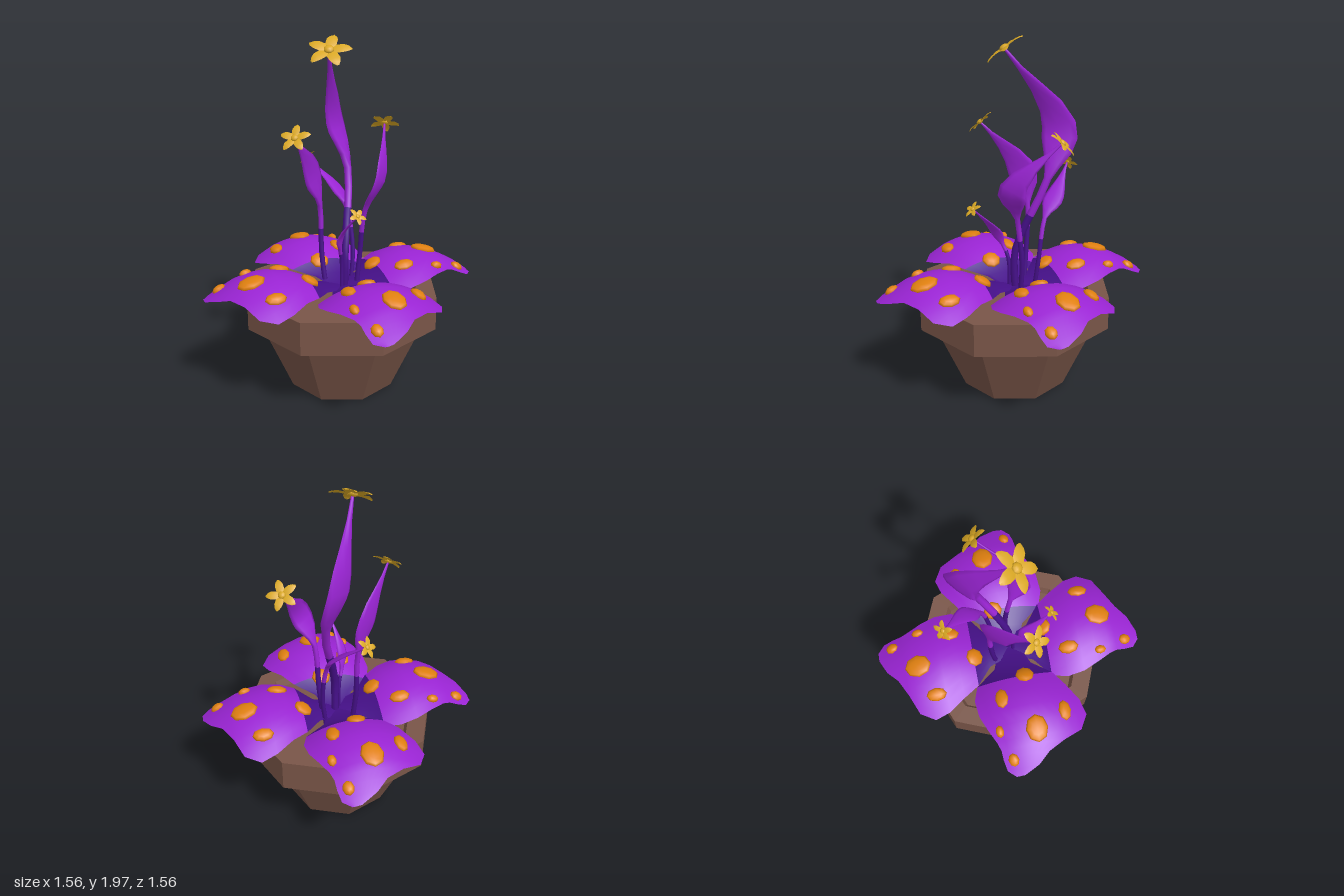
import * as THREE from 'three';
import { toCreasedNormals } from 'three/addons/utils/BufferGeometryUtils.js';

const V = (x, y, z) => new THREE.Vector3(x, y, z);

// Skin between rows of points; closed rows wrap round.
function loft(rows, closed) {
  const n = rows[0].length, index = [];
  for (let i = 0; i < rows.length - 1; i++) {
    for (let j = 0; j < (closed ? n : n - 1); j++) {
      const a = i * n + j, b = i * n + (j + 1) % n;
      index.push(a, b, a + n, b, b + n, a + n);
    }
  }
  const g = new THREE.BufferGeometry().setFromPoints(rows.flat());
  g.setIndex(index);
  g.computeVertexNormals();
  return g;
}

function mesh(name, geometry, material, parent) {
  const m = new THREE.Mesh(geometry, material);
  m.name = name;
  parent.add(m);
  return m;
}

// Big leaf rows: distance from centre, right edge, left edge, spine height
const LEAF = [
  [0, .06, -.06, .56], [.13, .11, -.11, .6], [.22, .22, -.23, .66], [.31, .28, -.26, .7],
  [.41, .345, -.25, .717], [.5, .37, -.215, .712], [.585, .32, -.175, .69], [.63, .21, -.16, .67],
  [.68, .11, -.157, .645], [.74, .04, -.145, .612], [.78, -.05, -.1, .588],
];

function leafHeight(x, z) {
  let i = 0;
  while (i < LEAF.length - 2 && z > LEAF[i + 1][0]) i++;
  const [z0, , , y0] = LEAF[i], [z1, , , y1] = LEAF[i + 1];
  const spine = y0 + (y1 - y0) * (z - z0) / (z1 - z0);
  return Math.max(.575, spine - 1.1 * (x - .03) ** 2);
}

// Spots: x, z, half width, half length
const SPOTS = [
  [-.105, .34, .04, .06], [.06, .55, .065, .08], [.24, .47, .04, .06],
  [-.15, .525, .025, .036], [-.1, .69, .032, .04], [.055, .215, .055, .055],
];

function makeLeaf(mat) {
  const leaf = new THREE.Group();
  const rows = LEAF.map(([z, r, l]) => Array.from({ length: 11 }, (_, j) => {
    const x = r + (l - r) * j / 10;
    return V(x, leafHeight(x, z), z);
  }));
  mesh('leafBase', loft(rows.slice(0, 3)), mat.darkPurple, leaf);
  mesh('leafBlade', loft(rows.slice(2)), mat.purple, leaf);
  for (const [x, z, w, l] of SPOTS) {
    const spot = mesh('spot', new THREE.SphereGeometry(1, 8, 6), mat.orange, leaf);
    const e = .02;
    const normal = V((leafHeight(x - e, z) - leafHeight(x + e, z)) / (2 * e), 1,
      (leafHeight(x, z - e) - leafHeight(x, z + e)) / (2 * e)).normalize();
    spot.scale.set(w, .024, l);
    spot.quaternion.setFromUnitVectors(V(0, 1, 0), normal);
    spot.position.set(x, leafHeight(x, z), z);
  }
  return leaf;
}

// Flower rows: distance, half width, lift (all times the radius)
const FLORET = [[.05, .08, .02], [.35, .25, .08], [.65, .25, .1], [.87, .16, .06], [1, .04, 0]];

function makeFlower(radius, mat) {
  const flower = new THREE.Group();
  const rows = FLORET.map(([z, w, y]) => [1, 0, -1].map(s => V(s * w, y - .04 * Math.abs(s), z)));
  for (let i = 0; i < 5; i++) {
    mesh('flowerPetal', loft(rows), mat.gold, flower).rotation.y = i * Math.PI * 2 / 5;
  }
  const heart = mesh('flowerHeart', new THREE.SphereGeometry(.24, 8, 6), mat.gold, flower);
  heart.scale.y = .6;
  heart.position.y = .05;
  flower.scale.setScalar(radius);
  return flower;
}

// Each stalk runs from the soil through its foot, knee and belly to the tip
const STALKS = [
  { name: 'tallStalk', stem: .022, blade: .09, bloom: .12,
    foot: [.02, .8, 0], knee: [.1, 1.22, -.155], belly: [.05, 1.5, -.24], tip: [-.08, 1.9, .02] },
  { name: 'rightStalk', stem: .015, blade: .08, bloom: .085,
    foot: [-.08, .75, -.11], knee: [-.085, 1.03, -.12], belly: [-.14, 1.23, -.095], tip: [-.295, 1.47, .08] },
  { name: 'leftStalk', stem: .015, blade: .07, bloom: .085,
    foot: [.11, .75, 0], knee: [.125, 1.02, .035], belly: [.19, 1.2, .09], tip: [.315, 1.465, -.13] },
  { name: 'backStalk', stem: .013, blade: .05, bloom: .06,
    foot: [.11, .75, -.1], knee: [.09, .99, -.145], belly: [.05, 1.1, -.225], tip: [-.07, 1.245, -.36] },
  { name: 'frontStalk', stem: .011, blade: .032, bloom: .052,
    foot: [-.015, .74, .03], knee: [-.035, .82, .055], belly: [-.045, .91, .1], tip: [-.01, 1.06, .24] },
];

function makeStalk({ name, stem, blade, bloom, foot, knee, belly, tip }, mat) {
  const stalk = new THREE.Group();
  stalk.name = name;
  const root = [foot[0] * .8, .54, foot[2] * .8];
  const curve = new THREE.CatmullRomCurve3([root, foot, knee, belly, tip].map(p => V(...p)));
  const rings = Array.from({ length: 17 }, (_, i) => {
    const t = i / 16, centre = curve.getPoint(t), tangent = curve.getTangent(t);
    const side = V(.75, 0, -.66);
    side.addScaledVector(tangent, -side.dot(tangent)).normalize();
    const normal = tangent.clone().cross(side);
    // Round below the knee, then swelling into a flat blade and tapering out
    const v = Math.max(0, t * 2 - 1);
    const thick = stem * (1 - .65 * v);
    const wide = thick + blade * Math.sin(Math.PI * v ** .8) ** 2;
    return Array.from({ length: 8 }, (_, j) => {
      const a = j * Math.PI / 4;
      return centre.clone().addScaledVector(side, Math.cos(a) * wide)
        .addScaledVector(normal, Math.sin(a) * thick);
    });
  });
  mesh('stem', loft(rings.slice(0, 7), true), mat.darkPurple, stalk);
  mesh('stalkBlade', loft(rings.slice(6), true), mat.purple, stalk);
  const flower = makeFlower(bloom, mat);
  flower.name = 'flower';
  flower.position.set(...tip);
  flower.quaternion.setFromUnitVectors(V(0, 1, 0), curve.getTangent(1));
  stalk.add(flower);
  return stalk;
}

export function createModel() {
  const material = (name, color) => {
    const m = new THREE.MeshStandardMaterial({ color, side: THREE.DoubleSide });
    m.name = name;
    return m;
  };
  const mat = {
    brown: material('clayBrown', 0x795548),
    purple: material('purple', 0x9a24d4),
    darkPurple: material('darkPurple', 0x46108a),
    orange: material('orange', 0xe0800f),
    gold: material('gold', 0xdaa824),
  };
  const model = new THREE.Group();
  model.name = 'pottedPlant';

  // Eight-sided pot with a thick rim and soil inside
  const profile = [[0, 0], [.305, 0], [.48, .4], [.56, .4], [.56, .585], [.45, .585], [.43, .54], [0, .54]]
    .map(([x, y]) => new THREE.Vector2(x, y));
  mesh('pot', toCreasedNormals(new THREE.LatheGeometry(profile, 8), .2), mat.brown, model);

  // Four spotted leaves round the centre
  for (let i = 0; i < 4; i++) {
    const leaf = makeLeaf(mat);
    leaf.name = 'spottedLeaf';
    leaf.rotation.y = i * Math.PI / 2;
    model.add(leaf);
  }

  // Flower stalks
  for (const s of STALKS) model.add(makeStalk(s, mat));
  return model;
}
